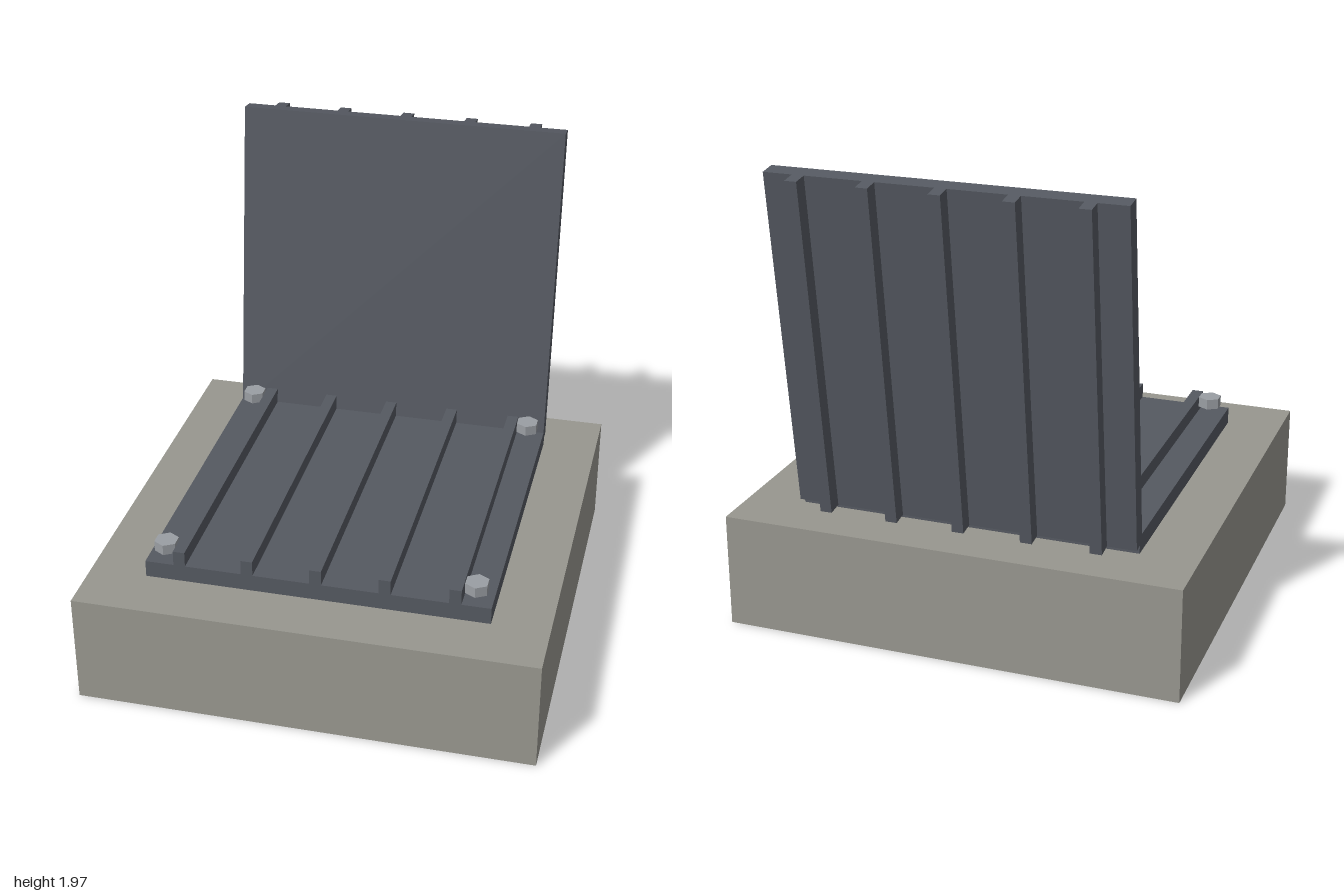
import * as THREE from 'three';

const stone = new THREE.MeshStandardMaterial({ color: 0x98978f });
const steel = new THREE.MeshStandardMaterial({ color: 0x555961 });
const bolt = new THREE.MeshStandardMaterial({ color: 0x9a9ea3, flatShading: true });

const WIDTH = 1.46, LENGTH = 1.458, PLATE = 0.074, RIB = 0.066;

function box(name, material, size, position) {
  const mesh = new THREE.Mesh(new THREE.BoxGeometry(...size), material);
  mesh.name = name;
  mesh.position.set(...position);
  return mesh;
}

// Flat plate with five ribs on its upper side; origin at its back bottom edge
function ribbedPanel(name) {
  const panel = new THREE.Group();
  panel.name = name;
  panel.add(box('plate', steel, [WIDTH, PLATE, LENGTH], [0, PLATE / 2, LENGTH / 2]));
  for (let i = -2; i <= 2; i++) {
    panel.add(box('rib', steel, [0.05, RIB, LENGTH], [i * 0.291, PLATE + RIB / 2, LENGTH / 2]));
  }
  return panel;
}

export function createModel() {
  const model = new THREE.Group();
  model.name = 'openHatch';

  // Square plinth
  model.add(box('plinth', stone, [1.945, 0.487, 1.945], [0, 0.2435, 0.0275]));

  // Fixed panel lying on the plinth, ribs up
  const floorPanel = ribbedPanel('floorPanel');
  floorPanel.position.set(0, 0.487, -0.7);
  model.add(floorPanel);

  // Raised lid, leaning slightly back with its ribs behind
  const lid = ribbedPanel('lid');
  lid.position.set(0, 0.527, -0.667);
  lid.rotation.x = -Math.PI / 2 - 0.129;
  model.add(lid);

  // Hexagonal bolt heads at the corners of the fixed panel
  const headGeometry = new THREE.CylinderGeometry(0.052, 0.052, 0.046, 6);
  for (const x of [-0.657, 0.657]) {
    for (const z of [-0.632, 0.686]) {
      const head = new THREE.Mesh(headGeometry, bolt);
      head.name = 'boltHead';
      head.position.set(x, 0.612, z);
      model.add(head);
    }
  }
  return model;
}
